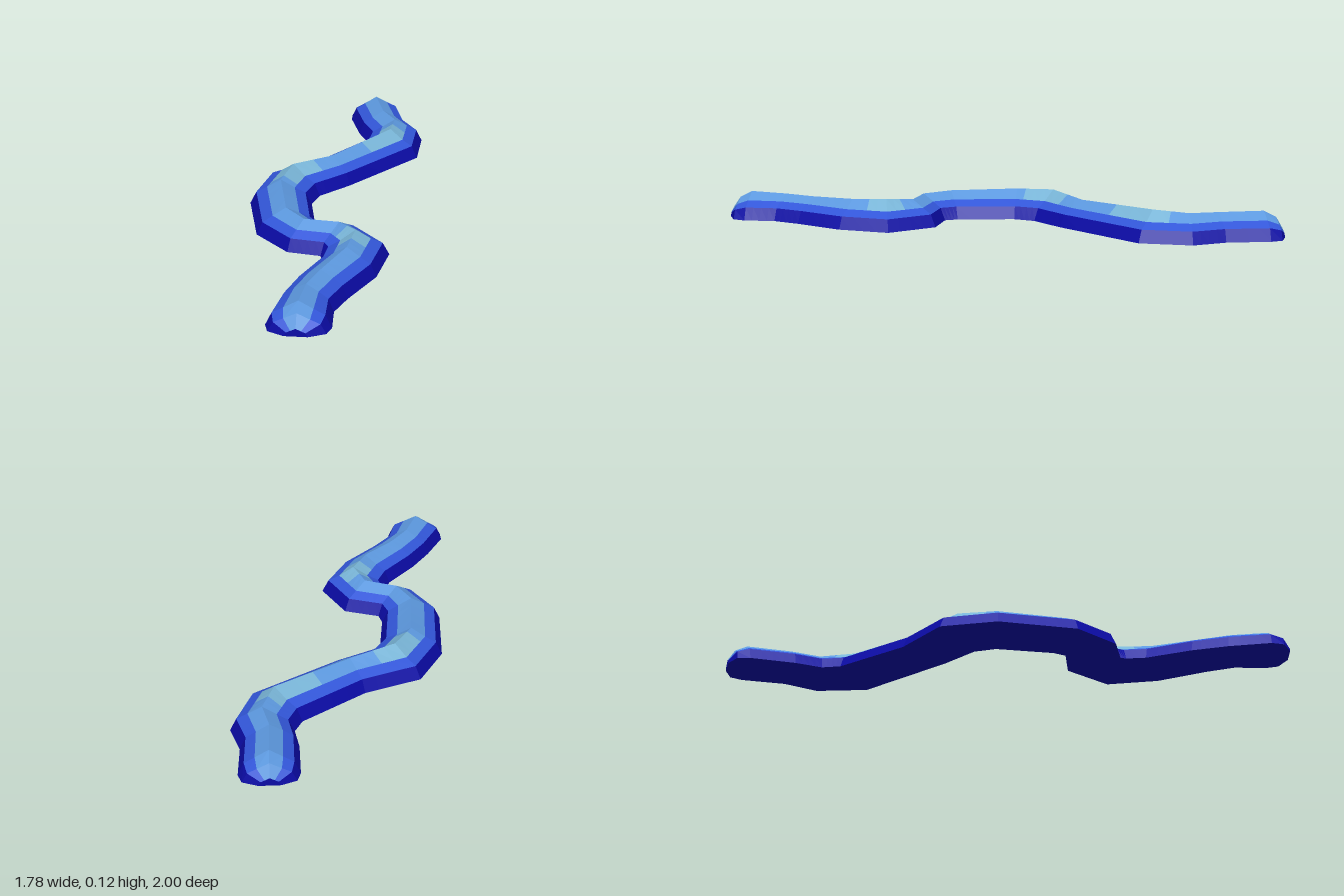
import * as THREE from 'three';

// Bends of the ridge: left x,z, right x,z, crest height
const bends = [
  [-0.87, 0.8, -0.66, 0.965, 0.113],
  [-0.73, 0.67, -0.58, 0.85, 0.108],
  [-0.6, 0.57, -0.47, 0.78, 0.107],
  [-0.42, 0.46, -0.26, 0.67, 0.117],
  [-0.36, 0.395, -0.09, 0.51, 0.125],
  [-0.35, 0.37, -0.1, 0.27, 0.112],
  [-0.45, 0.26, -0.22, 0.16, 0.111],
  [-0.47, 0.03, -0.21, 0.1, 0.112],
  [-0.32, -0.29, -0.09, -0.13, 0.118],
  [-0.13, -0.46, -0.01, -0.19, 0.125],
  [0.14, -0.47, 0.17, -0.22, 0.112],
  [0.48, -0.58, 0.63, -0.34, 0.125],
  [0.54, -0.64, 0.78, -0.52, 0.115],
  [0.57, -0.76, 0.8, -0.68, 0.111],
  [0.645, -0.95, 0.88, -0.86, 0.113],
];
const STEPS = 4;
const PALE_HEIGHT = 0.12;

// Half cross-section: distance from the middle and height, mirrored below
const half = [[1, 0], [0.8, 0.055], [0.45, 0.08]];
const profile = [
  ...half.map(([t, y]) => [-t, y]),
  [0, null],
  ...half.slice().reverse(),
];
const last = profile.length - 1;

// One cross-section; out moves it along the ridge, width and height shrink it
function section([lx, lz, rx, rz, crest], out = 0, width = 1, height = 1) {
  const across = new THREE.Vector3(rx - lx, 0, rz - lz);
  const along = new THREE.Vector3(-across.z, 0, across.x).normalize();
  const middle = new THREE.Vector3((lx + rx) / 2, 0, (lz + rz) / 2).addScaledVector(along, out);
  return profile.map(([t, y]) => {
    const p = middle.clone().addScaledVector(across, (t * width) / 2);
    p.y = (y ?? crest) * height;
    return p;
  });
}

function buildSections() {
  const first = bends[0];
  const end = bends[bends.length - 1];
  const sections = [section(first, 0.09, 0.36, 0.3), section(first, 0.055, 0.88, 0.75)];
  for (let i = 0; i < bends.length - 1; i++) {
    for (let s = 0; s < STEPS; s++) {
      sections.push(section(bends[i].map((v, k) => THREE.MathUtils.lerp(v, bends[i + 1][k], s / STEPS))));
    }
  }
  sections.push(section(end), section(end, -0.055, 0.88, 0.75), section(end, -0.085, 0.36, 0.3));
  return sections;
}

export function createModel() {
  const group = new THREE.Group();
  group.name = 'windingRidge';
  const faces = { lowerSides: [], shoulders: [], crest: [], paleCrest: [], base: [] };
  const quad = (name, a, b, c, d) => faces[name].push(a, b, c, a, c, d);
  const sections = buildSections();

  // Bands of colour along the ridge, paler on its highest stretches
  for (let i = 0; i < sections.length - 1; i++) {
    const a = sections[i], b = sections[i + 1];
    const top = (a[3].y + b[3].y) / 2 > PALE_HEIGHT ? 'paleCrest' : 'crest';
    for (let j = 0; j < last; j++) {
      const name = ['lowerSides', 'shoulders', top][Math.min(j, last - 1 - j)];
      quad(name, a[j], a[j + 1], b[j + 1], b[j]);
    }
    quad('base', a[0], b[0], b[last], a[last]);
  }

  // Small end faces
  const f = sections[0], e = sections[sections.length - 1];
  for (let j = 1; j < last; j++) {
    faces.lowerSides.push(f[0], f[j + 1], f[j], e[0], e[j], e[j + 1]);
  }

  const material = (name, color) => {
    const m = new THREE.MeshStandardMaterial({ color });
    m.name = name;
    return m;
  };
  const navy = material('navy', 0x0b0ba6);
  const materials = {
    lowerSides: navy,
    base: navy,
    shoulders: material('royalBlue', 0x3256d8),
    crest: material('skyBlue', 0x5c98de),
    paleCrest: material('paleTeal', 0x78b4d6),
  };
  for (const [name, points] of Object.entries(faces)) {
    const geometry = new THREE.BufferGeometry().setFromPoints(points);
    geometry.computeVertexNormals();
    const mesh = new THREE.Mesh(geometry, materials[name]);
    mesh.name = name;
    group.add(mesh);
  }
  return group;
}
